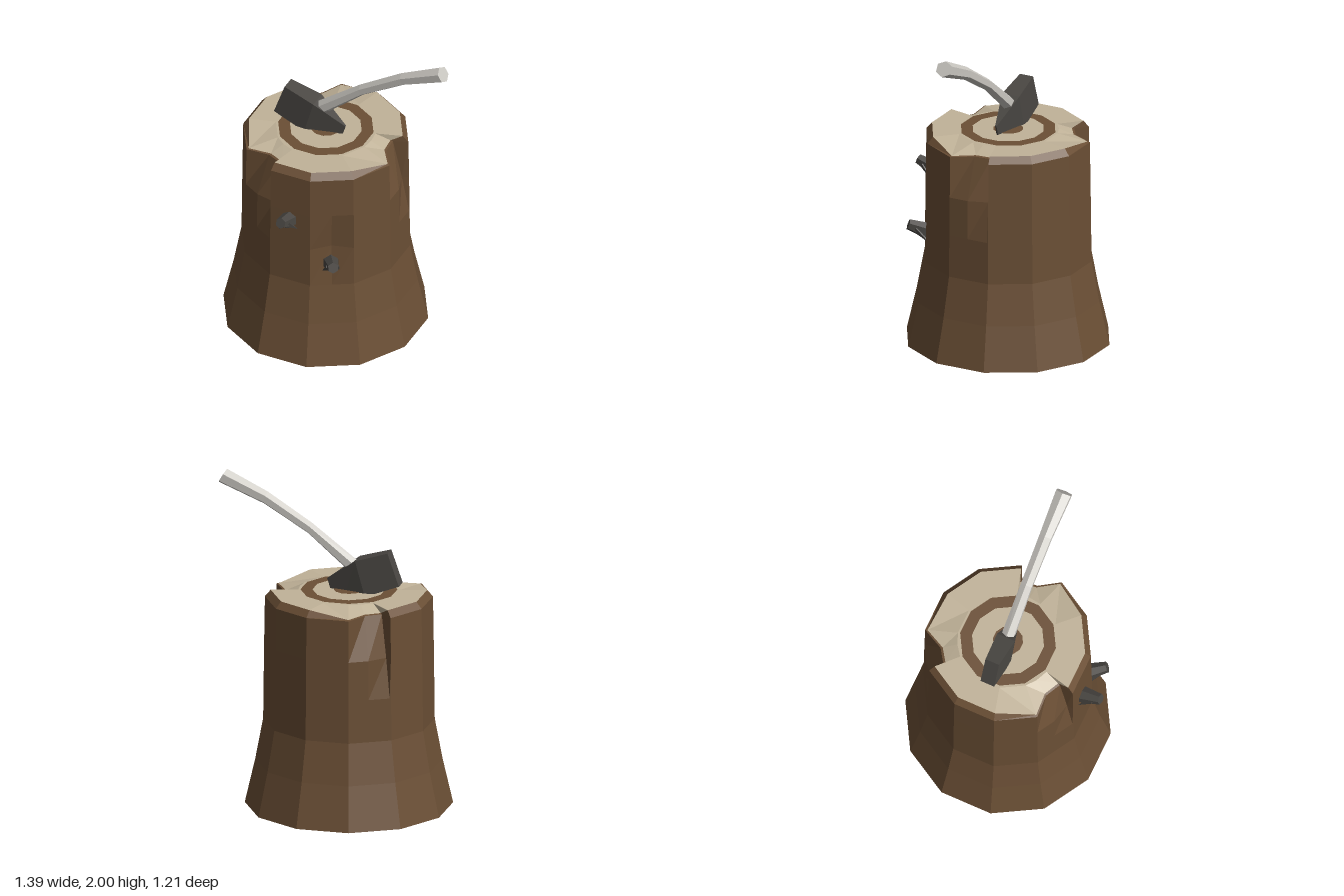
import * as THREE from 'three';

const CX = -0.105, CZ = -0.015, TOP = 1.315, SHOULDER = 1.275, DEG = Math.PI / 180;

const paint = (name, color) => {
  const m = new THREE.MeshStandardMaterial({ color, flatShading: true });
  m.name = name;
  return m;
};

const mesh = (name, geometry, material) => {
  const m = new THREE.Mesh(geometry, material);
  m.name = name;
  return m;
};

// Flat-shaded geometry from a list of triangle corners
function facets(points) {
  const g = new THREE.BufferGeometry().setFromPoints(points);
  g.computeVertexNormals();
  return g;
}

// Joins cross-section loops with quads and closes both ends
function loft(loops) {
  const out = [], n = loops[0].length;
  for (let j = 0; j < loops.length - 1; j++)
    for (let i = 0; i < n; i++) {
      const k = (i + 1) % n, a = loops[j], b = loops[j + 1];
      out.push(a[i], a[k], b[i], a[k], b[k], b[i]);
    }
  const first = loops[0], last = loops[loops.length - 1];
  for (let i = 1; i < n - 1; i++) {
    out.push(first[0], first[i + 1], first[i]);
    out.push(last[0], last[i], last[i + 1]);
  }
  return facets(out);
}

// Radius by angle of a 12-sided outline with the given flat-side distance
function sideRadius(deg, apothem) {
  const off = ((deg + 15 + 360) % 30) - 15;
  return apothem / Math.cos(off * DEG);
}

// Trunk columns: 12 corners, two extra in each of the three notches, one for a dent
function trunkAngles() {
  const list = [60];
  for (let k = 0; k < 12; k++) list.push(15 + 30 * k);
  for (const n of [0, 120, 240]) list.push((n + 346) % 360, n + 1);
  return list.sort((a, b) => a - b);
}

// How far the bark is cut in at a column, for each row of the trunk profile
function cuts(deg) {
  const t = deg % 120;
  if (t === 106) return [0, 0, 0, 0, 0.04, 0.09, 0.07];
  if (t === 1) return [0, 0, 0, 0, 0, 0.08, 0.06];
  if (t === 15) return [0, 0, 0, 0, 0, 0, -0.02];
  if (deg === 60) return [0, 0, 0, 0.035, 0, 0, 0];
  return [0, 0, 0, 0, 0, 0, 0];
}

function buildStump(bark, wood) {
  const group = new THREE.Group();
  group.name = 'stump';
  const rows = [[0.595, 0], [0.535, 0.27], [0.49, 0.52], [0.487, 0.78], [0.484, 1.02], [0.48, SHOULDER], [0.447, TOP]];
  const point = (deg, r, y) =>
    new THREE.Vector3(CX + r * Math.cos(deg * DEG), y, CZ + r * Math.sin(deg * DEG));

  const columns = trunkAngles().map((deg) => {
    const cut = cuts(deg), notched = cut[6] !== 0;
    const side = rows.map(([r, y], j) =>
      point(deg, sideRadius(deg, r) - cut[j], notched && j === 6 ? SHOULDER + 0.004 : y));
    return { side, inner: point(deg, 0.3, TOP) };
  });

  const barkTris = [], woodTris = [];
  const low = point(0, 0, 0), high = point(0, 0, TOP);
  columns.forEach((a, i) => {
    const b = columns[(i + 1) % columns.length], last = rows.length - 1;
    for (let j = 0; j < last; j++)
      barkTris.push(a.side[j], a.side[j + 1], b.side[j], b.side[j], a.side[j + 1], b.side[j + 1]);
    barkTris.push(low, a.side[0], b.side[0]);
    woodTris.push(high, b.inner, a.inner);
    woodTris.push(a.inner, b.inner, a.side[last], a.side[last], b.inner, b.side[last]);
  });
  group.add(mesh('trunkBark', facets(barkTris), bark), mesh('cutWood', facets(woodTris), wood));

  // Growth rings on the cut face
  const ring = mesh('growthRing', new THREE.RingGeometry(0.216, 0.287, 12, 1, Math.PI / 12), bark);
  const heart = mesh('heartRing', new THREE.CircleGeometry(0.09, 12, Math.PI / 12), bark);
  for (const m of [ring, heart]) {
    m.rotation.x = -Math.PI / 2;
    m.position.set(CX, TOP + 0.003, CZ);
    group.add(m);
  }
  return group;
}

function buildAxe(iron, handleGrey) {
  const group = new THREE.Group();
  group.name = 'axe';
  group.position.z = -0.005;

  // Head: poll, eye and the blade edge sunk in the wood; bottom and top points with half thickness
  const stations = [
    [-0.42, 1.37, -0.35, 1.57, 0.044],
    [-0.215, 1.295, -0.155, 1.51, 0.058],
    [-0.04, 1.15, 0.03, 1.375, 0.005],
  ];
  const headLoops = stations.map(([bx, by, tx, ty, w]) => [
    new THREE.Vector3(bx, by, w), new THREE.Vector3(bx, by, -w),
    new THREE.Vector3(tx, ty, -w), new THREE.Vector3(tx, ty, w),
  ]);
  group.add(mesh('axeHead', loft(headLoops), iron));

  // Handle: six-sided, bending gently; upper and lower edge points with half width
  const grip = [
    [-0.2, 1.465, -0.125, 1.41, 0.038],
    [0.125, 1.71, 0.15, 1.645, 0.034],
    [0.395, 1.88, 0.42, 1.805, 0.037],
    [0.645, 2.0, 0.695, 1.915, 0.047],
  ];
  const gripLoops = grip.map(([ux, uy, lx, ly, w]) => {
    const at = (t, z) => new THREE.Vector3(ux + (lx - ux) * t, uy + (ly - uy) * t, z);
    return [at(0, 0), at(0.25, w), at(0.75, w), at(1, 0), at(0.75, -w), at(0.25, -w)];
  });
  group.add(mesh('axeHandle', loft(gripLoops), handleGrey));
  return group;
}

// Dark broken branch: a six-sided stub with splinters spreading from its root; local +z points outward
function buildBranch(name, iron) {
  const group = new THREE.Group();
  group.name = name;
  const stub = new THREE.CylinderGeometry(0.033, 0.052, 0.14, 6);
  stub.rotateX(Math.PI / 2);
  group.add(mesh('branchStub', stub, iron));
  for (const s of [-1, 0, 1]) {
    const splinter = new THREE.ConeGeometry(0.024, 0.12, 5);
    splinter.rotateX(-Math.PI / 2 - 0.45);
    const m = mesh('branchSplinter', splinter, iron);
    m.position.set(s * 0.035, -0.03 - (s ? 0 : 0.01), -0.03);
    m.rotation.y = -s * 0.35;
    group.add(m);
  }
  return group;
}

export function createModel() {
  const bark = paint('barkBrown', 0x6b4f35);
  const wood = paint('cutWoodCream', 0xc1b399);
  const iron = paint('darkIron', 0x4a4743);
  const handleGrey = paint('handleGrey', 0xcbc8c2);

  const model = new THREE.Group();
  model.name = 'stumpWithAxe';
  model.add(buildStump(bark, wood), buildAxe(iron, handleGrey));

  // Branch stubs on the front, tilted upward
  const upper = buildBranch('upperBranch', iron);
  upper.position.set(-0.11, 0.985, 0.525);
  upper.rotation.set(-0.35, 0, 0);
  const lower = buildBranch('lowerBranch', iron);
  lower.position.set(0.155, 0.69, 0.44);
  lower.rotation.set(-0.35, 0.55, 0, 'YXZ');
  model.add(upper, lower);
  return model;
}
